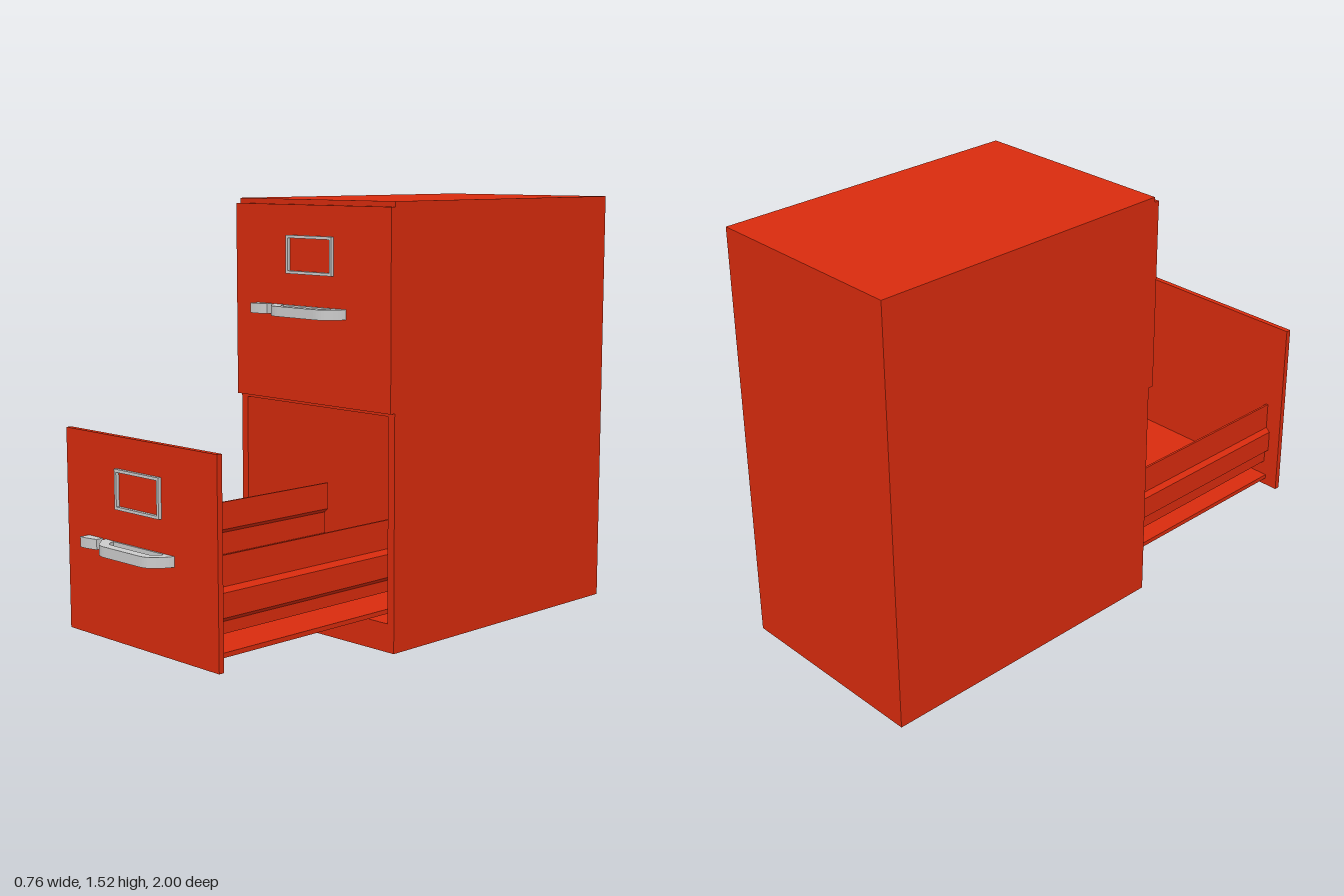
import * as THREE from 'three';

const red = new THREE.MeshStandardMaterial({ color: 0xd82b0d, side: THREE.DoubleSide });
const metal = new THREE.MeshStandardMaterial({ color: 0xcccccc });

// Box given by its minimum and maximum corners
function box(name, material, [x0, y0, z0], [x1, y1, z1]) {
  const mesh = new THREE.Mesh(new THREE.BoxGeometry(x1 - x0, y1 - y0, z1 - z0), material);
  mesh.position.set((x0 + x1) / 2, (y0 + y1) / 2, (z0 + z1) / 2);
  mesh.name = name;
  return mesh;
}

function rectangle(PathType, x0, y0, x1, y1) {
  return new PathType([[x0, y0], [x1, y0], [x1, y1], [x0, y1]].map(p => new THREE.Vector2(...p)));
}

function extrude(name, material, shape, depth) {
  const geometry = new THREE.ExtrudeGeometry(shape, { depth, bevelEnabled: false, curveSegments: 6 });
  const mesh = new THREE.Mesh(geometry, material);
  mesh.name = name;
  return mesh;
}

// Outline in plan (x, z) raised into a horizontal slab centred on y = 0
function planSlab(name, shape, height) {
  const mesh = extrude(name, metal, shape, height);
  mesh.rotation.x = Math.PI / 2;
  mesh.position.y = height / 2;
  return mesh;
}

// Bow handle: rounded outer outline with a finger opening
function makeHandle() {
  const shape = new THREE.Shape();
  shape.moveTo(-0.178, 0);
  shape.lineTo(0.172, 0);
  shape.quadraticCurveTo(0.165, 0.025, 0.145, 0.05);
  shape.quadraticCurveTo(0.125, 0.075, 0.09, 0.075);
  shape.lineTo(-0.09, 0.075);
  shape.quadraticCurveTo(-0.125, 0.075, -0.145, 0.05);
  shape.quadraticCurveTo(-0.165, 0.025, -0.178, 0.02);
  const hole = new THREE.Path();
  hole.moveTo(-0.13, 0.006);
  hole.quadraticCurveTo(-0.12, 0.042, -0.09, 0.042);
  hole.lineTo(0.09, 0.042);
  hole.quadraticCurveTo(0.12, 0.042, 0.13, 0.006);
  shape.holes.push(hole);
  return planSlab('handle', shape, 0.035);
}

function makeLatch() {
  const shape = new THREE.Shape();
  shape.moveTo(-0.268, 0);
  shape.lineTo(-0.194, 0);
  shape.lineTo(-0.194, 0.025);
  shape.quadraticCurveTo(-0.23, 0.038, -0.268, 0.036);
  return planSlab('thumbLatch', shape, 0.035);
}

// Drawer front with its fittings, resting on z = 0
function makeDrawerFront(name) {
  const group = new THREE.Group();
  group.name = name;
  group.add(box('frontPanel', red, [-0.38, 0, -0.02], [0.38, 0.683, 0]));

  const frame = rectangle(THREE.Shape, -0.112, 0.445, 0.112, 0.578);
  frame.holes.push(rectangle(THREE.Path, -0.102, 0.455, 0.102, 0.568));
  group.add(extrude('labelFrame', metal, frame, 0.012));

  const pull = new THREE.Group();
  pull.name = 'pull';
  pull.position.y = 0.318;
  pull.add(makeHandle(), makeLatch());
  group.add(pull);
  return group;
}

// Ribbed drawer side, extruded along the drawer length
function makeDrawerSide(side, z0, z1) {
  const profile = [[0.308, 0.45], [0.308, 0.35], [0.324, 0.335], [0.324, 0.255], [0.308, 0.24], [0.308, 0.2]];
  const outer = profile.map(([x, y]) => new THREE.Vector2(side * (x + 0.008), y));
  const inner = profile.map(([x, y]) => new THREE.Vector2(side * x, y)).reverse();
  const mesh = extrude(side > 0 ? 'leftDrawerSide' : 'rightDrawerSide', red,
    new THREE.Shape([...outer, ...inner]), z1 - z0);
  mesh.position.z = z0;
  return mesh;
}

export function createModel() {
  const model = new THREE.Group();
  model.name = 'filingCabinet';

  // Cabinet shell with the open lower bay
  const shell = rectangle(THREE.Shape, -0.38, 0, 0.38, 1.525);
  shell.holes.push(rectangle(THREE.Path, -0.35, 0.1, 0.35, 0.812));
  const body = extrude('cabinetBody', red, shell, 1.125);
  body.position.z = -0.98;
  model.add(body, box('backPanel', red, [-0.38, 0, -1], [0.38, 1.525, -0.98]));

  // Closed upper drawer
  const upper = makeDrawerFront('upperDrawer');
  upper.position.set(0, 0.824, 0.165);
  model.add(upper);

  // Pulled-out lower drawer: front, floor and two ribbed sides
  const lower = new THREE.Group();
  lower.name = 'lowerDrawer';
  const front = makeDrawerFront('lowerDrawerFront');
  front.position.set(0, 0.1, 0.925);
  lower.add(front, box('drawerFloor', red, [-0.328, 0.127, -0.22], [0.328, 0.143, 0.905]));
  for (const side of [-1, 1]) lower.add(makeDrawerSide(side, -0.22, 0.905));
  model.add(lower);

  return model;
}
